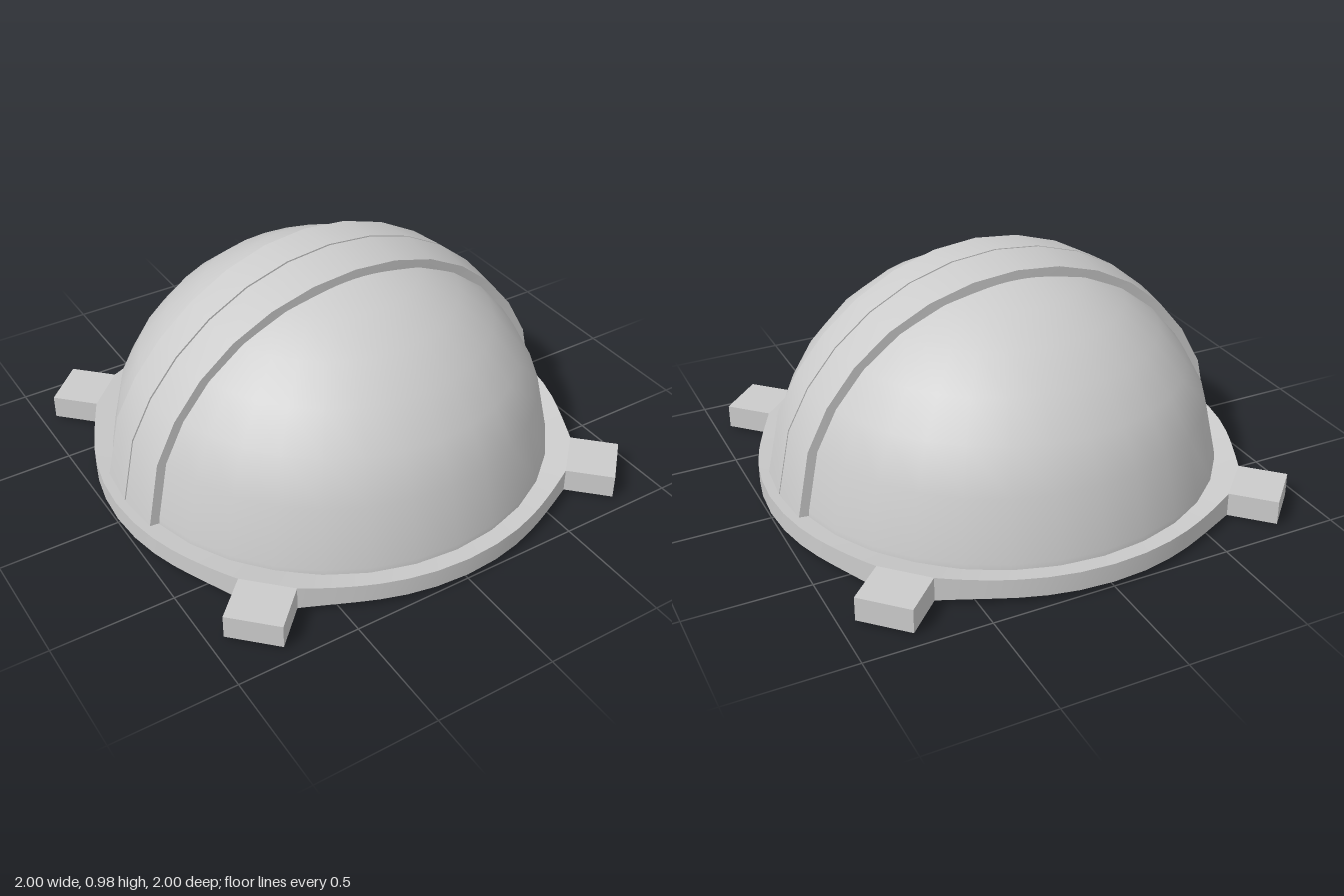
import * as THREE from 'three';
import { mergeGeometries, toCreasedNormals } from 'three/addons/utils/BufferGeometryUtils.js';

const rad = THREE.MathUtils.degToRad;
const V = (x, y, z) => new THREE.Vector3(x, y, z);

// Skin a row of cross-sections with quads, creasing the sharp edges
function loft(sections, closed) {
  const pos = [];
  const n = sections.length;
  for (let i = 0; i < (closed ? n : n - 1); i++) {
    const s = sections[i], t = sections[(i + 1) % n];
    for (let j = 0; j < s.length - 1; j++) {
      for (const p of [s[j], t[j], t[j + 1], s[j], t[j + 1], s[j + 1]]) pos.push(p.x, p.y, p.z);
    }
  }
  const g = new THREE.BufferGeometry();
  g.setAttribute('position', new THREE.Float32BufferAttribute(pos, 3));
  return toCreasedNormals(g, 0.5);
}

// Dome profile from the rim up to the pole
function domeProfile(r, rim) {
  const pts = rim.map(([x, y]) => new THREE.Vector2(x, y));
  for (let k = 2; k <= 8; k++) {
    const a = rad(11.25 * k);
    pts.push(new THREE.Vector2(k === 8 ? 0 : r * Math.cos(a), r * Math.sin(a)));
  }
  return pts;
}

// Flange around the dome, hollow underneath: a slightly dished top plate and an
// outer wall that swells towards each tab and is open where the tab joins
function flangeGeometry() {
  const half = [6.33, 8, 10, 12, 14, 17, 20, 24, 30, 37];
  const offsets = [...half, 45, ...half.slice().reverse().map(a => 90 - a)];
  const top = [], walls = [];
  for (let q = 0; q < 4; q++) {
    const wall = [];
    for (const off of offsets) {
      const phi = Math.min(off, 90 - off), th = rad(45 + 90 * q + off);
      const swell = Math.max(0, (24 - phi) / 17.67) ** 2.5;
      const R = 1 + 0.024 * swell;
      const at = (r, y) => V(r * Math.cos(th), y, r * Math.sin(th));
      const edge = at(R, 0.1 + 0.01 * swell);
      top.push([at(0.905, 0.085), edge]);
      wall.push([edge, at(R, 0.02 - 0.01 * swell)]);
    }
    walls.push(loft(wall, false));
  }
  return mergeGeometries([loft(top, true), ...walls]);
}

// Inner collar that the dome stands on
function collarGeometry() {
  const profile = [[0.905, 0.05], [0.885, 0.05], [0.885, 0], [0.9, 0], [0.91, 0.085]];
  const g = new THREE.LatheGeometry(profile.map(([r, y]) => new THREE.Vector2(r, y)), 64);
  return toCreasedNormals(g, 0.5);
}

// Raised band over the dome, sloping to both sides of a fine central seam
function strapGeometry() {
  const angles = [5.8];
  for (let k = 2; k <= 14; k++) angles.push(11.25 * k);
  angles.push(174.2);
  const sections = angles.map((deg, i) => {
    const a = rad(deg);
    const end = i === 0 || i === angles.length - 1;
    const ridge = end ? 0.966 : 0.978;
    const base = end ? 0.885 : 0.915;
    const edge = ridge - 0.018;
    const w = 0.18 + 0.01 * Math.cos(4 * a);
    const s = 0.004;
    return [[base, -w], [edge, -w], [ridge, -s], [edge, -s], [edge, s], [ridge, s], [edge, w], [base, w]]
      .map(([r, z]) => V(r * Math.cos(a), r * Math.sin(a), z));
  });
  return loft(sections, false);
}

// Mounting tab: box shell open underneath and towards the flange
function tabGeometry() {
  const g = new THREE.BoxGeometry(0.2, 0.1, 0.226);
  const idx = Array.from(g.index.array);
  g.setIndex(idx.filter((_, i) => ![1, 3].includes(Math.floor(i / 6))));
  g.translate(1.117, 0.06, 0);
  return g;
}

export function createModel() {
  const model = new THREE.Group();
  model.name = 'domeCover';
  const grey = new THREE.MeshStandardMaterial({ color: 0xcccccc });
  const thin = new THREE.MeshStandardMaterial({ color: 0xcccccc, side: THREE.DoubleSide });
  const add = (name, geometry, material = grey) => {
    const mesh = new THREE.Mesh(geometry, material);
    mesh.name = name;
    model.add(mesh);
    return mesh;
  };

  // Thin dome shell, outside and inside
  add('domeOuter', new THREE.LatheGeometry(domeProfile(0.94, [[0.924, 0.075], [0.922, 0.11]]), 32));
  add('domeInner', new THREE.LatheGeometry(domeProfile(0.925, [[0.905, 0.05]]).reverse(), 32));

  add('strap', strapGeometry());
  add('flange', flangeGeometry(), thin);
  add('collar', collarGeometry(), thin);

  // Four tabs on the diagonals
  const tab = tabGeometry();
  for (let i = 0; i < 4; i++) {
    add('mountingTab' + (i + 1), tab, thin).rotation.y = rad(45 + 90 * i);
  }
  return model;
}
